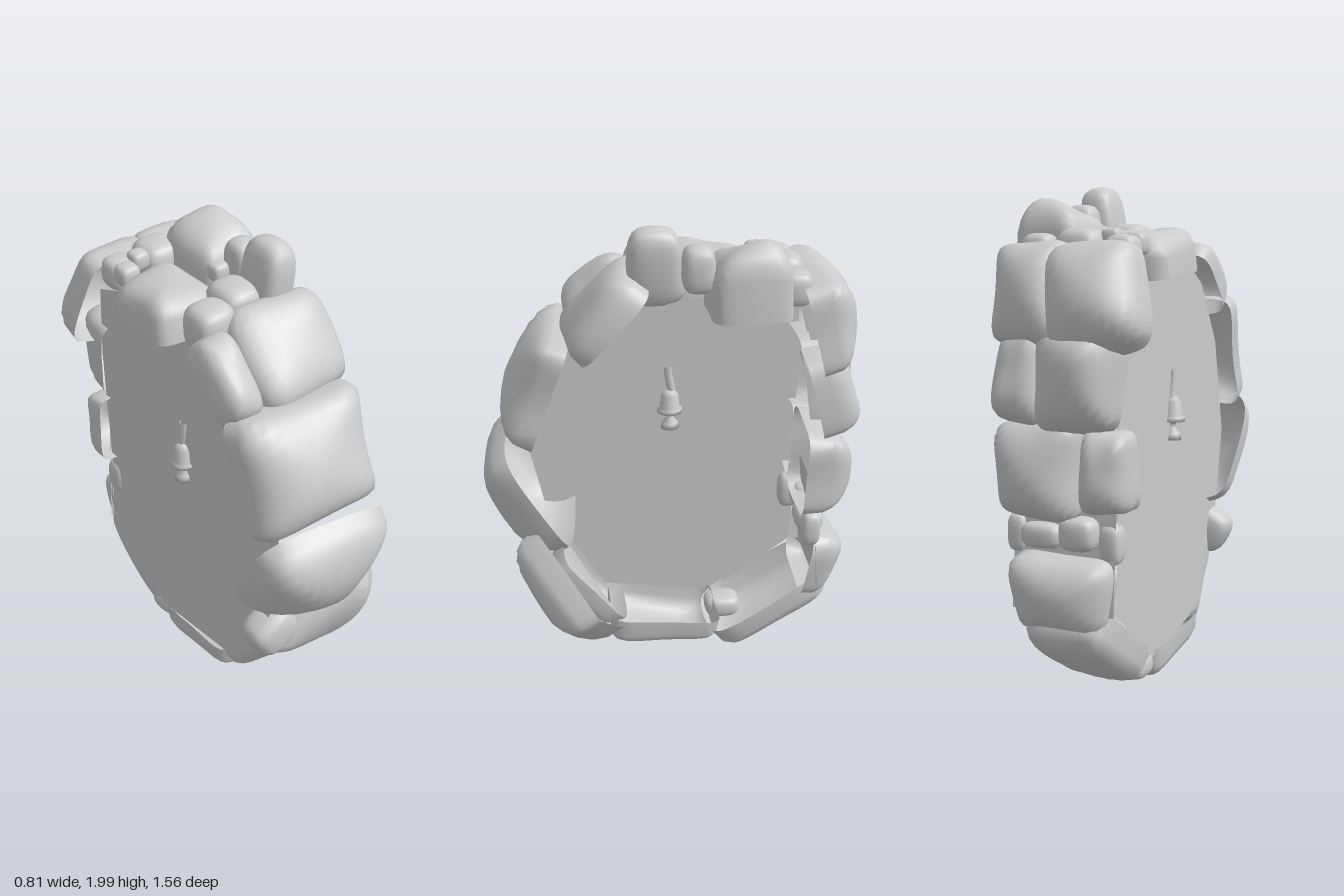
import * as THREE from 'three';
import { mergeVertices } from 'three/addons/utils/BufferGeometryUtils.js';

const material = new THREE.MeshStandardMaterial({ color: 0xcccccc, side: THREE.DoubleSide });
let seed = 0;

const pNorm = (power, ...q) => q.reduce((sum, a) => sum + Math.abs(a) ** power, 0) ** (1 / power);

function addMesh(parent, name, geometry) {
  const mesh = new THREE.Mesh(geometry, material);
  mesh.name = name;
  parent.add(mesh);
  return mesh;
}

// Hollow stone facing: a squarish dome, open toward the inside of the ring.
// Rim centre, [width, length, bulge], tilt round x; then optional spin, yaw,
// squareness of the outline and fall-off of the bulge (low is boxy, high is pointed)
function addStone(parent, name, [x, y, z], [w, h, d], tilt, { spin = 0, yaw = 0, power = 6, fall = 0.6 } = {}) {
  const geo = new THREE.PlaneGeometry(2, 2, 14, 14);
  const s = ++seed * 1.7;
  const p = geo.attributes.position;
  for (let i = 0; i < p.count; i++) {
    const u = p.getX(i), v = p.getY(i);
    const angle = Math.max(Math.abs(u), Math.abs(v)) * Math.PI / 2;
    const r = Math.sin(angle) / Math.max(pNorm(power, u, v), 1e-6);
    const px = u * r, py = v * r;
    p.setXYZ(i,
      px * w / 2 * (1 + 0.05 * Math.sin(s + 2.1 * py)),
      py * h / 2 * (1 + 0.05 * Math.sin(2 * s + 1.9 * px)),
      d * Math.max(Math.cos(angle), 0) ** fall * (1 + 0.1 * Math.sin(3 * s + 1.6 * px + 1.8 * py)));
  }
  geo.computeVertexNormals();
  const mesh = addMesh(parent, name, geo);
  mesh.position.set(x, y, z);
  mesh.rotation.set(tilt, yaw, spin);
}

// Closed rounded pebble
function addPebble(parent, [x, y, z], [w, h, d], lean = 0) {
  let geo = new THREE.BoxGeometry(2, 2, 2, 6, 6, 6);
  geo.deleteAttribute('uv');
  geo.deleteAttribute('normal');
  geo = mergeVertices(geo, 1e-4);
  const p = geo.attributes.position;
  for (let i = 0; i < p.count; i++) {
    const q = [p.getX(i), p.getY(i), p.getZ(i)];
    const n = 2 * pNorm(3.2, ...q);
    p.setXYZ(i, q[0] * w / n, q[1] * h / n, q[2] * d / n);
  }
  geo.computeVertexNormals();
  const mesh = addMesh(parent, 'pebble', geo);
  mesh.position.set(x, y, z);
  mesh.rotation.z = lean;
}

export function createModel() {
  seed = 0;
  const group = new THREE.Group();
  const ring = new THREE.Group();
  ring.name = 'stoneRing';
  group.add(ring);

  const rear = Math.PI, up = -Math.PI / 2;
  const stones = {
    // Front arc, top to bottom
    frontStone: [
      [[0, 1.62, 0.24], [0.42, 0.42, 0.15], -0.75],
      [[-0.29, 1.6, 0.24], [0.18, 0.34, 0.16], -0.75, { power: 4 }],
      [[-0.11, 1.31, 0.48], [0.56, 0.49, 0.18], -0.36, { yaw: -0.1, power: 8 }],
      [[-0.11, 0.88, 0.54], [0.55, 0.52, 0.21], 0.5, { yaw: -0.12, fall: 0.8 }],
      [[0.06, 0.46, 0.4], [0.5, 0.52, 0.19], 0.6, { spin: -0.9, yaw: 0.15, power: 16 }],
      [[-0.14, 0.33, 0.33], [0.3, 0.4, 0.14], 0.7],
    ],
    // Sill
    sillStone: [
      [[-0.13, 0.18, 0.03], [0.35, 0.5, 0.16], 1.45, { fall: 0.5 }],
      [[-0.09, 0.27, -0.4], [0.37, 0.56, 0.17], 2.13, { fall: 0.5 }],
    ],
    // Back arc in two columns, bottom to top
    backStone: [
      [[-0.07, 0.47, -0.57], [0.4, 0.3, 0.16], rear - 0.15],
      [[0.02, 0.94, -0.53], [0.35, 0.38, 0.2], rear - 0.05, { fall: 0.5 }],
      [[-0.25, 0.94, -0.53], [0.2, 0.32, 0.18], rear - 0.05],
      [[0.08, 1.27, -0.56], [0.2, 0.36, 0.19], rear + 0.25],
      [[-0.14, 1.27, -0.55], [0.33, 0.4, 0.23], rear + 0.15, { fall: 0.7 }],
      [[0.05, 1.57, -0.54], [0.3, 0.4, 0.18], rear + 0.25, { fall: 0.5 }],
      [[-0.2, 1.56, -0.54], [0.38, 0.42, 0.2], rear + 0.25, { spin: 0.15 }],
    ],
    // Crown
    crownStone: [
      [[0.08, 1.65, -0.29], [0.28, 0.33, 0.28], up, { fall: 0.4 }],
      [[-0.23, 1.65, -0.16], [0.31, 0.36, 0.19], up - 0.1, { fall: 0.5 }],
    ],
  };
  for (const [name, list] of Object.entries(stones))
    for (const args of list) addStone(ring, name, ...args);

  // Pebbles filling the gaps: centre, size, lean
  const pebbles = [
    [[0.06, 1.84, 0.08], [0.15, 0.32, 0.21], -0.15],
    [[-0.22, 1.74, 0.09], [0.18, 0.19, 0.17]],
    [[-0.07, 1.75, 0.04], [0.18, 0.2, 0.2]],
    [[0.08, 1.83, -0.09], [0.13, 0.19, 0.13]],
    [[-0.25, 0.52, 0.5], [0.21, 0.19, 0.16], 0.5],
    [[-0.25, 1.74, -0.45], [0.13, 0.13, 0.13]],
    [[-0.08, 1.74, -0.44], [0.18, 0.18, 0.18]],
    [[-0.27, 1.77, -0.37], [0.09, 0.09, 0.09]],
    [[-0.19, 1.79, -0.41], [0.08, 0.08, 0.08]],
    [[-0.01, 1.8, -0.13], [0.08, 0.08, 0.08]],
    [[0.08, 1.74, -0.47], [0.13, 0.14, 0.13]],
    [[0.13, 0.68, -0.57], [0.08, 0.15, 0.08]],
    [[0.02, 0.68, -0.58], [0.17, 0.1, 0.12]],
    [[-0.14, 0.7, -0.6], [0.15, 0.13, 0.13]],
    [[-0.25, 0.66, -0.55], [0.09, 0.16, 0.1]],
    [[-0.21, 0.1, -0.25], [0.14, 0.1, 0.16]],
  ];
  for (const args of pebbles) addPebble(ring, ...args);

  // Lining behind the lower back stones
  const lining = addMesh(ring, 'lining', new THREE.PlaneGeometry(0.42, 0.5));
  lining.position.set(-0.07, 0.64, -0.59);
  lining.rotation.x = 0.08;

  // Flat panel closing the ring; outline is [z, y]
  const outline = [[0.28, 0.2], [0.53, 0.62], [0.6, 0.95], [0.5, 1.35], [0.32, 1.6], [0.12, 1.72],
    [-0.3, 1.72], [-0.56, 1.62], [-0.58, 1.3], [-0.56, 0.7], [-0.59, 0.4], [-0.22, 0.13]];
  const shape = new THREE.Shape(outline.map(([z, y]) => new THREE.Vector2(-z, y)));
  const panel = addMesh(group, 'panel', new THREE.ShapeGeometry(shape));
  panel.rotation.y = Math.PI / 2;
  panel.position.x = -0.28;

  // Small bell-shaped ornament through the middle of the panel
  const ornament = new THREE.Group();
  ornament.name = 'ornament';
  ornament.position.set(-0.28, 0, -0.02);
  group.add(ornament);
  const profile = [[0, 0.99], [0.04, 0.985], [0.035, 1.01], [0.014, 1.035], [0.018, 1.055], [0.054, 1.06],
    [0.054, 1.078], [0.042, 1.085], [0.038, 1.14], [0.022, 1.16], [0, 1.165]];
  addMesh(ornament, 'bell', new THREE.LatheGeometry(profile.map(([r, y]) => new THREE.Vector2(r, y)), 14));
  const stemPath = new THREE.CatmullRomCurve3([[0, 1.15, -0.01], [0, 1.2, 0], [0, 1.24, 0.006], [0, 1.27, 0.008]]
    .map((q) => new THREE.Vector3(...q)));
  addMesh(ornament, 'stem', new THREE.TubeGeometry(stemPath, 8, 0.017, 8));

  return group;
}
